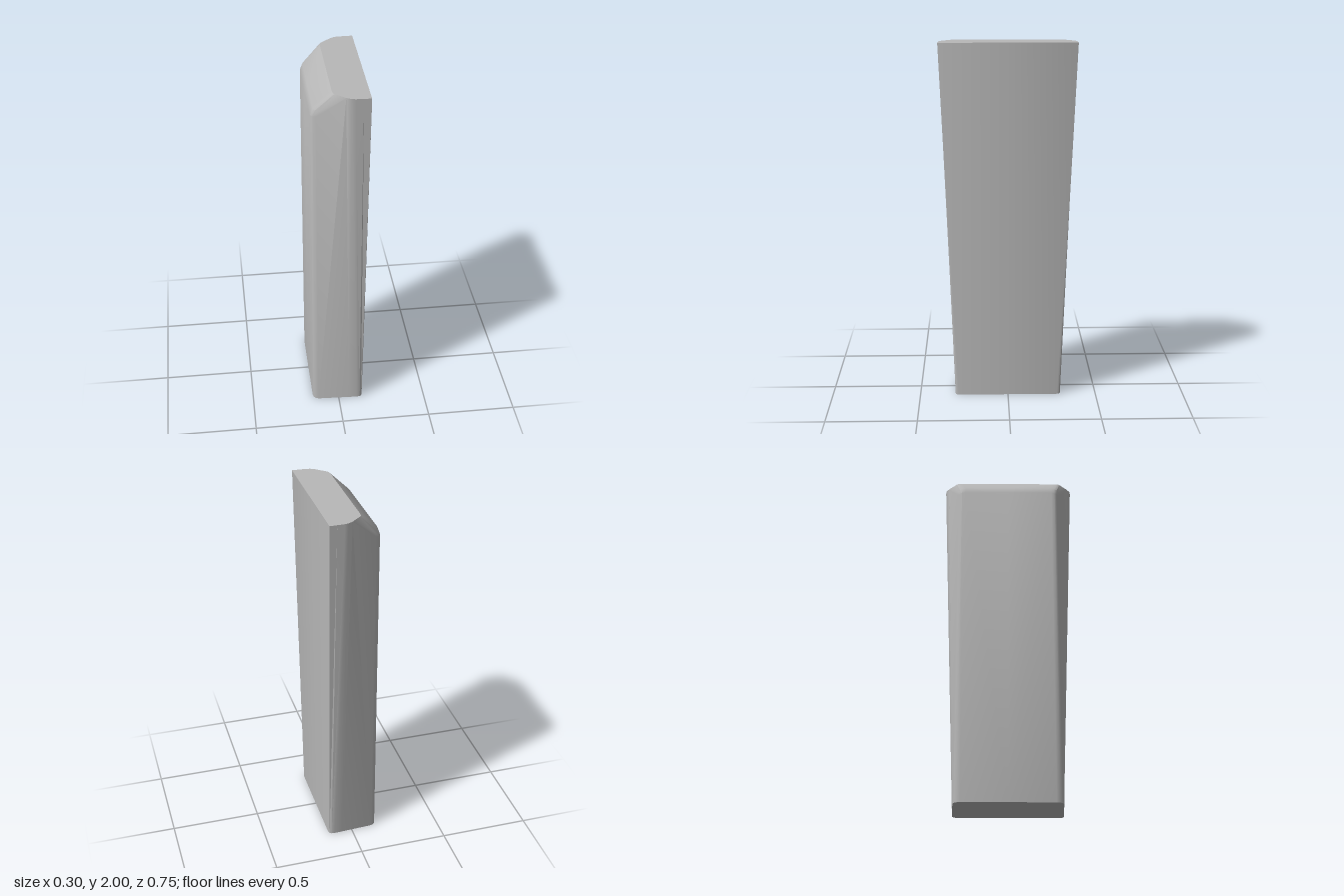
import * as THREE from 'three';
import { toCreasedNormals } from 'three/addons/utils/BufferGeometryUtils.js';

// Rail on the chamfered outer side: rises straight, rounds over, then slopes in to the top
const bevelRail = (x, z, roll, topX, topZ) => [
  [x, 0, z],
  [x, 1.87, z],
  [x + roll, 1.87 + roll * 2.6, z],
  [topX, 2, topZ],
];

// Rail on the flared side: runs directly from the base to the top edge
const flareRail = (x, z, topX, topZ) => {
  const top = [topX, 2, topZ];
  return [[x, 0, z], top, top, top];
};

// Rails of one half, from the middle of the outer face round to the middle of the flat face
const RAILS = [
  bevelRail(-0.15, 0, 0.015, -0.038, 0),
  bevelRail(-0.15, 0.25, 0.015, -0.038, 0.265),
  bevelRail(-0.146, 0.27, 0.013, -0.036, 0.288),
  bevelRail(-0.137, 0.282, 0.012, -0.034, 0.3),
  bevelRail(-0.12, 0.29, 0.01, -0.028, 0.307),
  flareRail(0.06, 0.298, 0.025, 0.355),
  flareRail(0.105, 0.3, 0.05, 0.37),
  flareRail(0.122, 0.298, 0.07, 0.374),
  flareRail(0.133, 0.291, 0.11, 0.375),
  flareRail(0.138, 0.28, 0.15, 0.376),
  flareRail(0.138, 0, 0.15, 0),
];

function blockGeometry() {
  const pos = [];
  const same = (a, b) => a.every((v, i) => v === b[i]);
  const tri = (side, a, b, c) => {
    if (same(a, b) || same(b, c) || same(a, c)) return;
    for (const p of side > 0 ? [a, b, c] : [a, c, b]) pos.push(p[0], p[1], p[2] * side);
  };
  for (const side of [1, -1]) {
    for (let i = 0; i < RAILS.length - 1; i++) {
      const a = RAILS[i], b = RAILS[i + 1];
      // walls and chamfer
      for (let k = 0; k < 3; k++) {
        tri(side, a[k], b[k], b[k + 1]);
        tri(side, a[k], b[k + 1], a[k + 1]);
      }
      // top and bottom caps
      tri(side, [0.06, 2, 0], a[3], b[3]);
      tri(side, [0, 0, 0], b[0], a[0]);
    }
  }
  const geometry = new THREE.BufferGeometry();
  geometry.setAttribute('position', new THREE.Float32BufferAttribute(pos, 3));
  return toCreasedNormals(geometry, 0.5);
}

export function createModel() {
  const group = new THREE.Group();
  group.name = 'taperedBlock';
  const grey = new THREE.MeshStandardMaterial({ color: 0xb8b8b8 });
  grey.name = 'light grey';
  const body = new THREE.Mesh(blockGeometry(), grey);
  body.name = 'body';
  group.add(body);
  return group;
}
